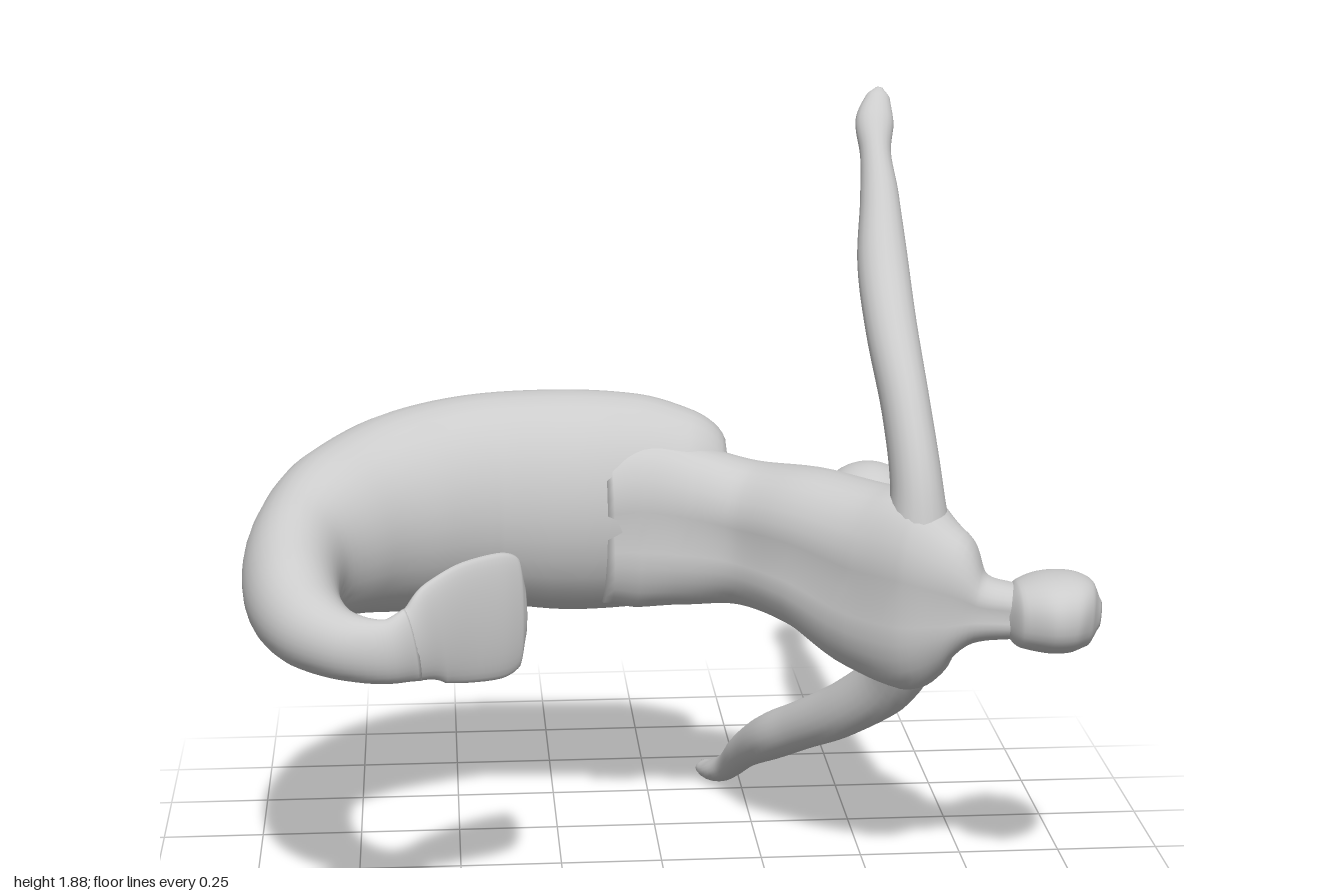
import * as THREE from 'three';

const material = new THREE.MeshStandardMaterial({ color: 0xcccccc, side: THREE.DoubleSide });
const Y = new THREE.Vector3(0, 1, 0);
const X = new THREE.Vector3(1, 0, 0);

// Smooth skin through rows of [x, y, z, half size along "up", half size across].
// "power" below 1 squares the section, "groove" dents it on its rear middle line.
function loft(name, rows, { up = Y, power = 1, groove = 0, sides = 32, steps = 6 } = {}) {
  const path = new THREE.CatmullRomCurve3(rows.map(r => new THREE.Vector3(r[0], r[1], r[2])));
  const size = new THREE.CatmullRomCurve3(rows.map(r => new THREE.Vector3(r[3], r[4], 0)), false, 'catmullrom', 0.4);
  const rings = (rows.length - 1) * steps;
  const positions = [], index = [];
  const bend = v => Math.sign(v) * Math.abs(v) ** power;
  for (let i = 0; i <= rings; i++) {
    const t = i / rings;
    const p = path.getPoint(t), s = size.getPoint(t), tangent = path.getTangent(t);
    const v = new THREE.Vector3().crossVectors(tangent, up).normalize();
    const u = new THREE.Vector3().crossVectors(v, tangent).normalize();
    for (let j = 0; j < sides; j++) {
      const angle = j / sides * Math.PI * 2;
      const c = bend(Math.cos(angle)), d = bend(Math.sin(angle));
      const dent = d > 0 ? 1 - groove * Math.exp(-((c / 0.25) ** 2)) : 1;
      const q = p.clone()
        .addScaledVector(u, Math.max(s.x, 0.005) * c)
        .addScaledVector(v, Math.max(s.y, 0.005) * d * dent);
      positions.push(q.x, q.y, q.z);
      if (i < rings) {
        const a = i * sides + j, b = i * sides + (j + 1) % sides;
        index.push(a, b, a + sides, b, b + sides, a + sides);
      }
    }
  }
  // Close both ends
  for (const [ring, t] of [[0, 0], [rings, 1]]) {
    const centre = positions.length / 3;
    positions.push(...path.getPoint(t).toArray());
    for (let j = 0; j < sides; j++) {
      const a = ring * sides + j, b = ring * sides + (j + 1) % sides;
      index.push(...(ring ? [centre, a, b] : [centre, b, a]));
    }
  }
  const geometry = new THREE.BufferGeometry();
  geometry.setAttribute('position', new THREE.Float32BufferAttribute(positions, 3));
  geometry.setIndex(index);
  geometry.computeVertexNormals();
  const mesh = new THREE.Mesh(geometry, material);
  mesh.name = name;
  return mesh;
}

function ellipsoid(name, position, scale) {
  const mesh = new THREE.Mesh(new THREE.SphereGeometry(1, 32, 20), material);
  mesh.name = name;
  mesh.position.set(...position);
  mesh.scale.set(...scale);
  return mesh;
}

export function createModel() {
  const group = new THREE.Group();
  group.name = 'mermaid';

  // Curled tail from the blunt hips to the narrow stem
  group.add(loft('tail', [
    [0.19, 0.88, -0.17, 0.02, 0.02],
    [0.165, 0.88, -0.17, 0.17, 0.1],
    [0.08, 0.885, -0.18, 0.235, 0.155],
    [-0.05, 0.89, -0.2, 0.268, 0.185],
    [-0.22, 0.895, -0.2, 0.277, 0.2],
    [-0.42, 0.9, -0.205, 0.265, 0.195],
    [-0.62, 0.89, -0.14, 0.25, 0.2],
    [-0.78, 0.88, 0, 0.21, 0.17],
    [-0.87, 0.855, 0.16, 0.165, 0.125],
    [-0.88, 0.82, 0.33, 0.13, 0.11],
    [-0.84, 0.79, 0.46, 0.1, 0.095],
    [-0.76, 0.77, 0.55, 0.08, 0.07],
    [-0.66, 0.765, 0.59, 0.075, 0.04],
    [-0.6, 0.775, 0.57, 0.09, 0.03],
  ]));

  // Flat fin at the end of the tail
  group.add(loft('tailFin', [
    [-0.66, 0.765, 0.59, 0.07, 0.035],
    [-0.6, 0.775, 0.57, 0.09, 0.03],
    [-0.55, 0.79, 0.54, 0.125, 0.027],
    [-0.48, 0.8, 0.497, 0.145, 0.025],
    [-0.4, 0.8, 0.45, 0.15, 0.025],
    [-0.36, 0.8, 0.427, 0.13, 0.02],
    [-0.345, 0.8, 0.42, 0.06, 0.01],
  ]));

  // Torso emerging from the tail, shoulders and neck
  group.add(loft('torso', [
    [-0.14, 0.86, -0.1, 0.2, 0.1],
    [-0.05, 0.86, -0.11, 0.215, 0.11],
    [0.08, 0.85, -0.105, 0.2, 0.12],
    [0.22, 0.84, -0.06, 0.18, 0.13],
    [0.37, 0.83, 0.06, 0.2, 0.145],
    [0.5, 0.79, 0.18, 0.235, 0.14],
    [0.59, 0.78, 0.28, 0.24, 0.12],
    [0.665, 0.775, 0.335, 0.17, 0.09],
    [0.72, 0.765, 0.355, 0.085, 0.07],
    [0.78, 0.76, 0.365, 0.068, 0.065],
    [0.85, 0.755, 0.37, 0.06, 0.06],
  ], { power: 0.88, groove: 0.12 }));

  for (const [side, y] of [['right', 0.915], ['left', 0.725]]) {
    group.add(ellipsoid(side + 'Breast', [0.5, y, 0.025], [0.125, 0.12, 0.13]));
  }

  // Slightly squared head
  group.add(loft('head', [
    [0.775, 0.757, 0.385, 0.045, 0.03],
    [0.805, 0.757, 0.385, 0.077, 0.09],
    [0.87, 0.76, 0.383, 0.092, 0.127],
    [0.93, 0.76, 0.383, 0.092, 0.118],
    [0.975, 0.755, 0.385, 0.075, 0.08],
    [1.0, 0.753, 0.388, 0.03, 0.03],
  ], { power: 0.9 }));

  // Arm reaching up and back
  group.add(loft('raisedArm', [
    [0.585, 0.9, 0.28, 0.08, 0.09],
    [0.58, 1.04, 0.26, 0.062, 0.075],
    [0.565, 1.2, 0.18, 0.058, 0.07],
    [0.545, 1.37, 0.05, 0.062, 0.062],
    [0.54, 1.5, -0.075, 0.062, 0.062],
    [0.545, 1.65, -0.19, 0.047, 0.05],
    [0.543, 1.74, -0.255, 0.038, 0.042],
    [0.547, 1.81, -0.31, 0.047, 0.038],
    [0.56, 1.865, -0.35, 0.03, 0.022],
    [0.565, 1.885, -0.365, 0.01, 0.008],
  ], { up: X, sides: 20 }));

  // Arm reaching down and back
  group.add(loft('loweredArm', [
    [0.58, 0.66, 0.25, 0.08, 0.09],
    [0.545, 0.54, 0.18, 0.068, 0.08],
    [0.45, 0.42, 0.05, 0.06, 0.07],
    [0.36, 0.325, -0.1, 0.058, 0.062],
    [0.3, 0.26, -0.21, 0.06, 0.06],
    [0.245, 0.17, -0.36, 0.045, 0.047],
    [0.215, 0.085, -0.48, 0.036, 0.035],
    [0.19, 0.045, -0.55, 0.045, 0.03],
    [0.17, 0.033, -0.61, 0.035, 0.02],
    [0.165, 0.033, -0.645, 0.015, 0.01],
  ], { up: X, sides: 20 }));

  return group;
}
